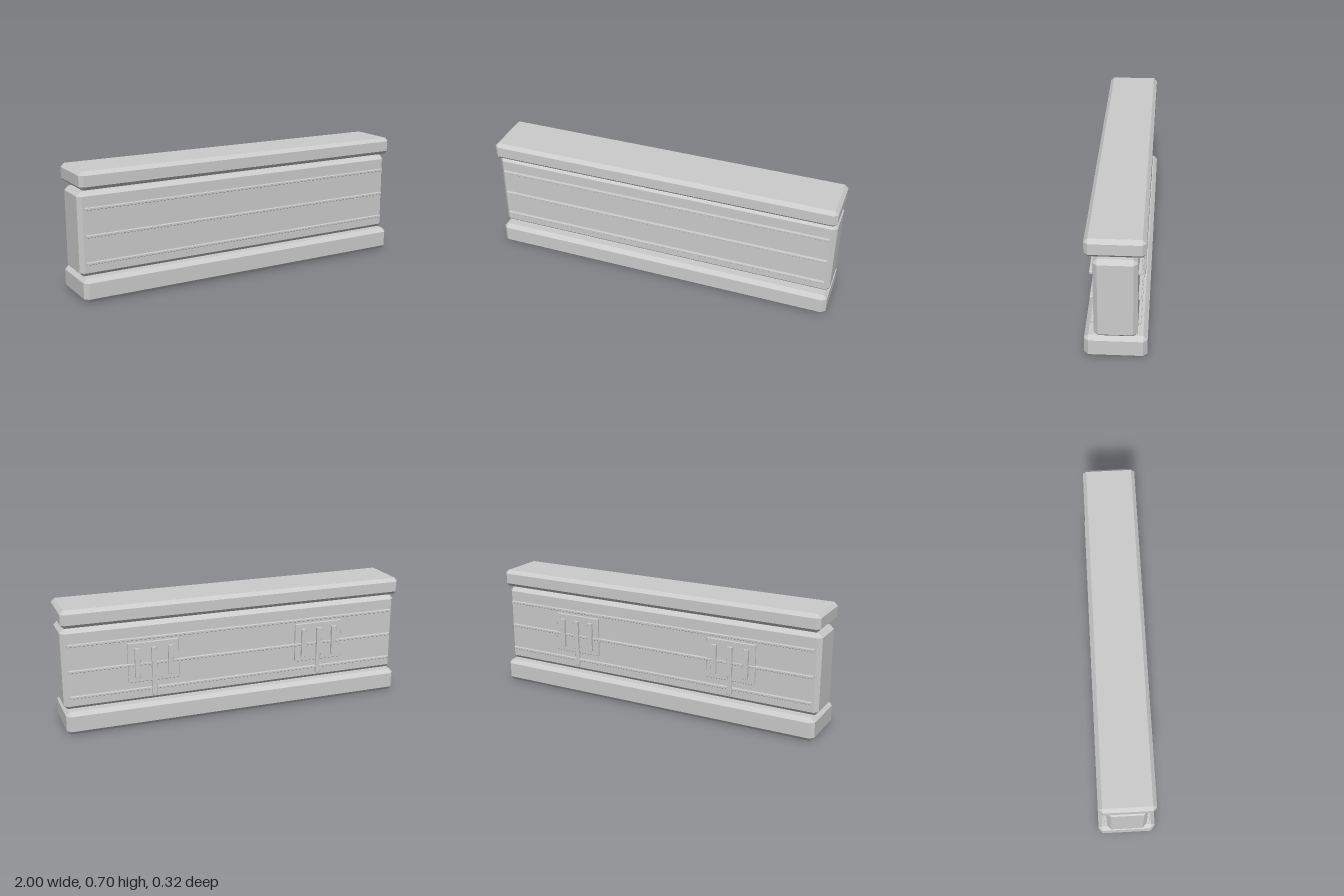
import * as THREE from 'three';
import { ConvexGeometry } from 'three/addons/geometries/ConvexGeometry.js';

const material = new THREE.MeshStandardMaterial({ color: 0xcccccc, flatShading: true });

// Box with every edge cut flat by the bevel c, given by its x, y and z ranges
function chamferBox(name, [x0, x1], [y0, y1], [z0, z1], c) {
  const h = [(x1 - x0) / 2, (y1 - y0) / 2, (z1 - z0) / 2];
  const points = [];
  for (const sx of [-1, 1]) for (const sy of [-1, 1]) for (const sz of [-1, 1]) {
    const s = [sx, sy, sz];
    // each corner becomes three points, one on each neighbouring face
    for (let face = 0; face < 3; face++) {
      points.push(new THREE.Vector3(...h.map((v, i) => s[i] * (i === face ? v : v - c))));
    }
  }
  const mesh = new THREE.Mesh(new ConvexGeometry(points), material);
  mesh.position.set((x0 + x1) / 2, (y0 + y1) / 2, (z0 + z1) / 2);
  mesh.name = name;
  return mesh;
}

// Raised panel with three upright bars, the middle one running on below
function createEmblem(name, x) {
  const emblem = new THREE.Group();
  emblem.name = name;
  const span = (center, width) => [center - width / 2, center + width / 2];
  emblem.add(chamferBox('emblemPlate', span(0, 0.29), [0.247, 0.475], [-0.122, -0.108], 0.002));
  for (const dx of [-0.095, 0, 0.095]) {
    emblem.add(chamferBox('emblemBar', span(dx, 0.028), [0.277, 0.445], [-0.138, -0.12], 0.001));
  }
  emblem.add(chamferBox('emblemStem', span(0, 0.026), [0.165, 0.3], [-0.13, -0.115], 0.002));
  emblem.position.x = x;
  return emblem;
}

export function createModel() {
  const model = new THREE.Group();
  model.name = 'barrierWall';

  // Three stacked slabs
  model.add(chamferBox('base', [-1, 1], [0, 0.131], [-0.16, 0.16], 0.022));
  model.add(chamferBox('wallBody', [-1, 1], [0.128, 0.585], [-0.11, 0.11], 0.022));
  model.add(chamferBox('cap', [-1, 1], [0.601, 0.7], [-0.15, 0.15], 0.02));

  // Thin horizontal strips on both faces
  for (const y of [0.204, 0.351, 0.498]) {
    model.add(chamferBox('frontStrip', [-0.97, 0.97], [y - 0.007, y + 0.007], [0.111, 0.127], 0.002));
    model.add(chamferBox('backStrip', [-0.97, 0.97], [y - 0.007, y + 0.007], [-0.127, -0.111], 0.002));
  }

  // Emblems on the back face
  model.add(createEmblem('leftEmblem', 0.497), createEmblem('rightEmblem', -0.497));
  return model;
}
